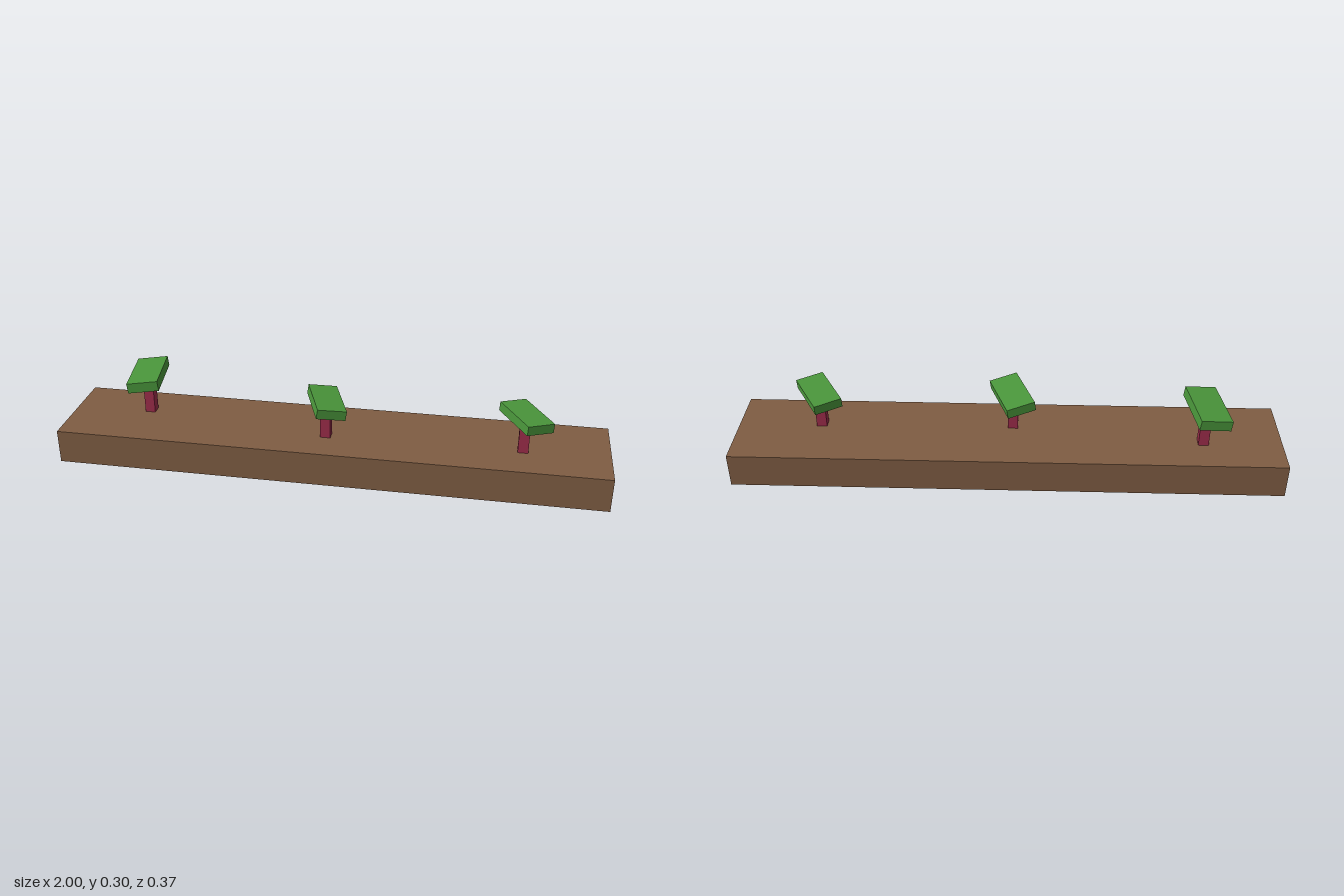
import * as THREE from 'three';

// Box standing on y = 0 with no bottom face
function openBox(width, height, depth) {
  const geometry = new THREE.BoxGeometry(width, height, depth);
  const index = Array.from(geometry.index.array);
  index.splice(18, 6);
  geometry.setIndex(index);
  geometry.clearGroups();
  geometry.translate(0, height / 2, 0);
  return geometry;
}

function part(name, geometry, material) {
  const mesh = new THREE.Mesh(geometry, material);
  mesh.name = name;
  return mesh;
}

export function createModel() {
  const soil = new THREE.MeshStandardMaterial({ color: 0x7f5d43, side: THREE.DoubleSide });
  soil.name = 'soil brown';
  const stemRed = new THREE.MeshStandardMaterial({ color: 0x9c2c4a, side: THREE.DoubleSide });
  stemRed.name = 'stem red';
  const leafGreen = new THREE.MeshStandardMaterial({ color: 0x4a963b, side: THREE.DoubleSide });
  leafGreen.name = 'leaf green';

  const model = new THREE.Group();
  model.name = 'plantBed';

  // Hollow bed, open underneath
  const bedHeight = 0.126;
  model.add(part('bed', openBox(2, bedHeight, 0.374), soil));

  // Sprouts: square stem with a turned, tilted hollow leaf on top
  const sprouts = [
    { name: 'rightSprout', x: -0.712, z: -0.042, top: 0.256, length: 0.226, yaw: 0.145, roll: 0.11 },
    { name: 'middleSprout', x: -0.019, z: 0.043, top: 0.2435, length: 0.21, yaw: 0.342, roll: -0.155 },
    { name: 'leftSprout', x: 0.691, z: 0.033, top: 0.2435, length: 0.204, yaw: 0.512, roll: -0.063 },
  ];
  for (const s of sprouts) {
    const sprout = new THREE.Group();
    sprout.name = s.name;
    sprout.position.set(s.x, bedHeight, s.z);

    const stemHeight = s.top - bedHeight;
    sprout.add(part('stem', openBox(0.0375, stemHeight, 0.0375), stemRed));

    const leaf = part('leaf', openBox(s.length * 0.505, s.length * 0.168, s.length), leafGreen);
    leaf.position.y = stemHeight;
    leaf.rotation.set(0, s.yaw, s.roll, 'YXZ');
    sprout.add(leaf);
    model.add(sprout);
  }
  return model;
}
